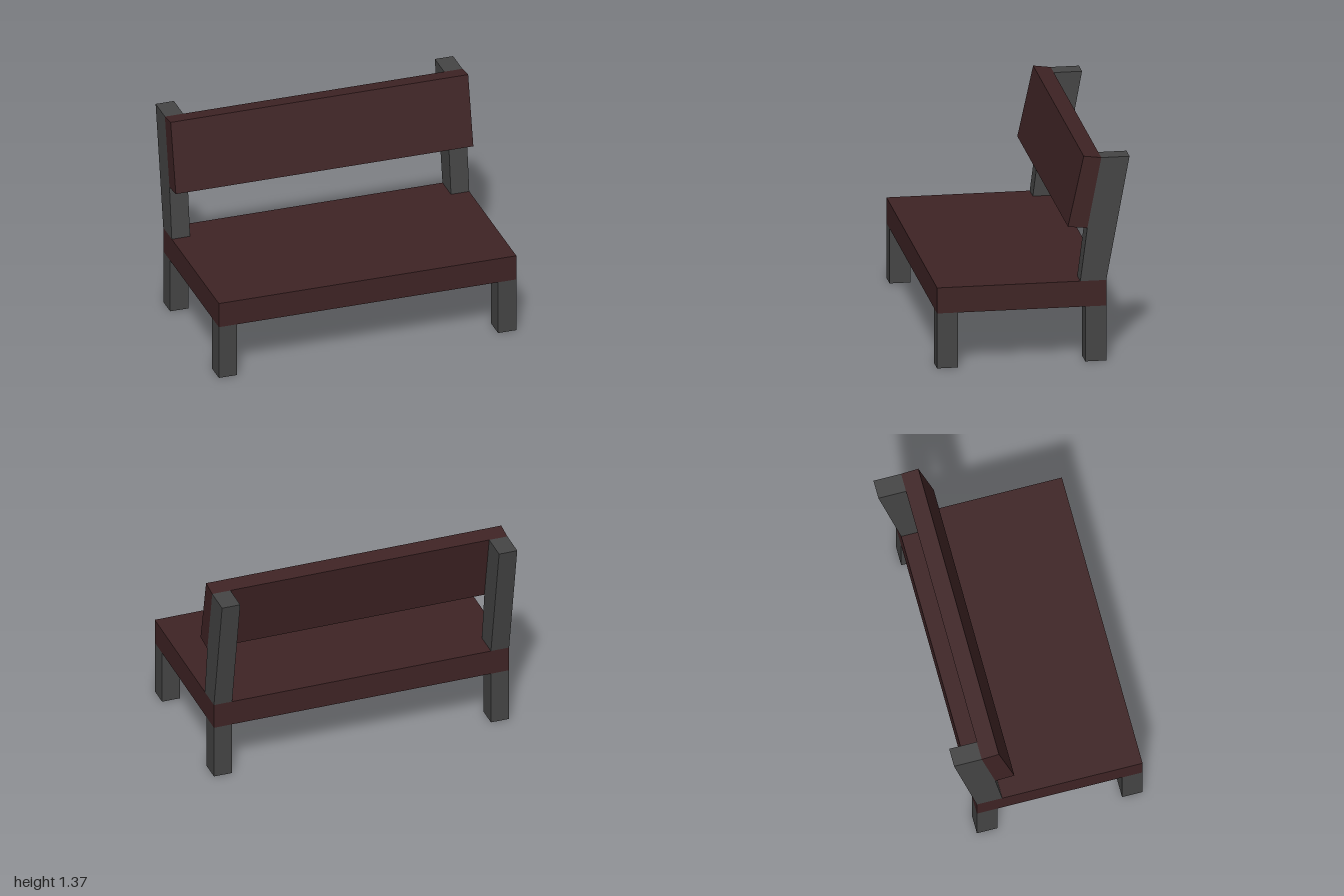
import * as THREE from 'three';

// Extrude a side profile of [z, y] points across the bench from x0 to x1.
function sideExtrude(name, points, x0, x1, material) {
  const shape = new THREE.Shape(points.map(([z, y]) => new THREE.Vector2(z, y)));
  const geometry = new THREE.ExtrudeGeometry(shape, { depth: x1 - x0, bevelEnabled: false });
  geometry.rotateY(-Math.PI / 2);
  geometry.translate(x1, 0, 0);
  const mesh = new THREE.Mesh(geometry, material);
  mesh.name = name;
  return mesh;
}

const rect = (z0, z1, y0, y1) => [[z0, y0], [z1, y0], [z1, y1], [z0, y1]];

export function createModel() {
  const wood = new THREE.MeshStandardMaterial({ color: 0x3e2324 });
  wood.name = 'dark brown wood';
  const metal = new THREE.MeshStandardMaterial({ color: 0x444444 });
  metal.name = 'dark grey frame';

  const bench = new THREE.Group();
  bench.name = 'bench';

  // Seat slab and leaning back board
  bench.add(sideExtrude('seat', rect(-0.47, 0.62, 0.365, 0.535), -1, 1, wood));
  const backBoard = [[-0.348, 0.886], [-0.223, 0.9], [-0.325, 1.365], [-0.438, 1.35]];
  bench.add(sideExtrude('backBoard', backBoard, -1, 1, wood));

  // Legs and back posts on both sides; the posts meet the rear of the board
  const post = [[-0.47, 0.535], [-0.303, 0.535], [-0.348, 0.886], [-0.438, 1.35], [-0.62, 1.35]];
  for (const [side, x0, x1] of [['left', 0.877, 1], ['right', -1, -0.877]]) {
    bench.add(sideExtrude(side + 'FrontLeg', rect(0.485, 0.62, 0, 0.365), x0, x1, metal));
    bench.add(sideExtrude(side + 'BackLeg', rect(-0.47, -0.335, 0, 0.365), x0, x1, metal));
    bench.add(sideExtrude(side + 'BackPost', post, x0, x1, metal));
  }
  return bench;
}
